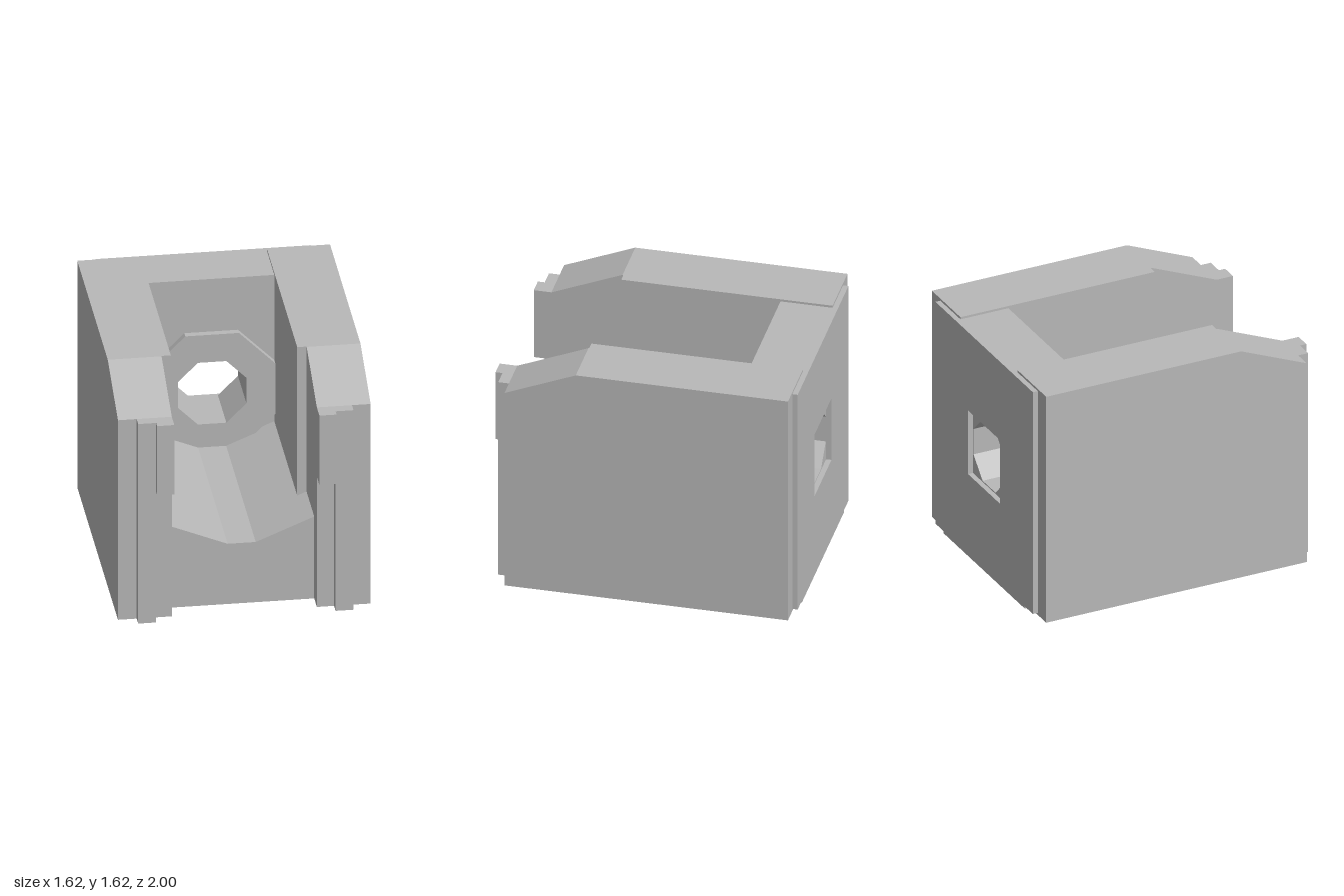
import * as THREE from 'three';

const CENTER_Y = 0.815; // axis of the round opening

// Regular octagon with flat top and sides, given its half width
function octagon(halfWidth) {
  const r = halfWidth / Math.cos(Math.PI / 8);
  return Array.from({ length: 8 }, (_, i) => {
    const a = Math.PI / 8 + (i * Math.PI) / 4;
    return new THREE.Vector2(r * Math.cos(a), CENTER_Y + r * Math.sin(a));
  });
}

const points = (list) => list.map(([x, y]) => new THREE.Vector2(x, y));

// Extrudes an outline (with an optional hole) from z0 to z1
function slab(outline, hole, z0, z1) {
  const shape = new THREE.Shape(outline);
  if (hole) shape.holes.push(new THREE.Path(hole));
  const geo = new THREE.ExtrudeGeometry(shape, { depth: z1 - z0, bevelEnabled: false });
  return geo.translate(0, 0, z0);
}

// Box from its lower and upper corners
function block(x0, x1, y0, y1, z0, z1) {
  return new THREE.BoxGeometry(x1 - x0, y1 - y0, z1 - z0)
    .translate((x0 + x1) / 2, (y0 + y1) / 2, (z0 + z1) / 2);
}

export function createModel() {
  const model = new THREE.Group();
  model.name = 'cradleHousing';
  const grey = new THREE.MeshStandardMaterial({ color: 0xb8b8b8 });
  grey.name = 'grey';

  const add = (name, geo) => {
    const mesh = new THREE.Mesh(geo, grey);
    mesh.name = name;
    model.add(mesh);
  };

  // Base with a faceted trough along its top
  add('troughBase', slab(points([
    [-0.465, 0], [0.465, 0], [0.465, 0.585], [0.09, 0.43], [-0.09, 0.43], [-0.465, 0.585],
  ]), null, -0.625, 0.765));

  // Thick back wall with an octagonal tunnel, and the collar in front of it
  const tunnel = octagon(0.22);
  add('backWall', slab(points([
    [-0.405, 0], [0.405, 0], [0.405, 1.605], [-0.405, 1.605],
  ]), tunnel, -0.965, -0.625));
  add('collar', slab(octagon(0.415), tunnel, -0.625, -0.58));

  // Outer back plate with a square window and notched lower corners
  const w = 0.228;
  add('backPlate', slab(points([
    [-0.575, 0], [0.575, 0], [0.575, 0.015], [0.69, 0.015],
    [0.69, 1.605], [-0.69, 1.605], [-0.69, 0.015], [-0.575, 0.015],
  ]), points([
    [-w, CENTER_Y - w], [w, CENTER_Y - w], [w, CENTER_Y + w], [-w, CENTER_Y + w],
  ]), -1, -0.965));

  // Side walls, profile drawn as (-z, y) and turned to run along x
  const wallProfile = points([
    [-0.885, 0], [0.965, 0], [0.965, 1.62], [-0.42, 1.62], [-0.885, 1.425],
  ]);
  for (const [side, s] of [['left', 1], ['right', -1]]) {
    const span = (a, b) => (s > 0 ? [a, b] : [-b, -a]);
    const [x0, x1] = span(0.465, 0.81);
    add(side + 'Wall', slab(wallProfile, null, x0, x1).rotateY(Math.PI / 2));
    add(side + 'InnerWall', block(...span(0.405, 0.465), 0, 1.62, -0.965, 0.415));
    // Stepped rail on the front edge
    add(side + 'Rail', block(...span(0.575, 0.69), 0, 1.425, 0.885, 0.955));
    add(side + 'RailHook', block(...span(0.465, 0.575), 0.93, 1.425, 0.885, 1));
  }
  return model;
}
